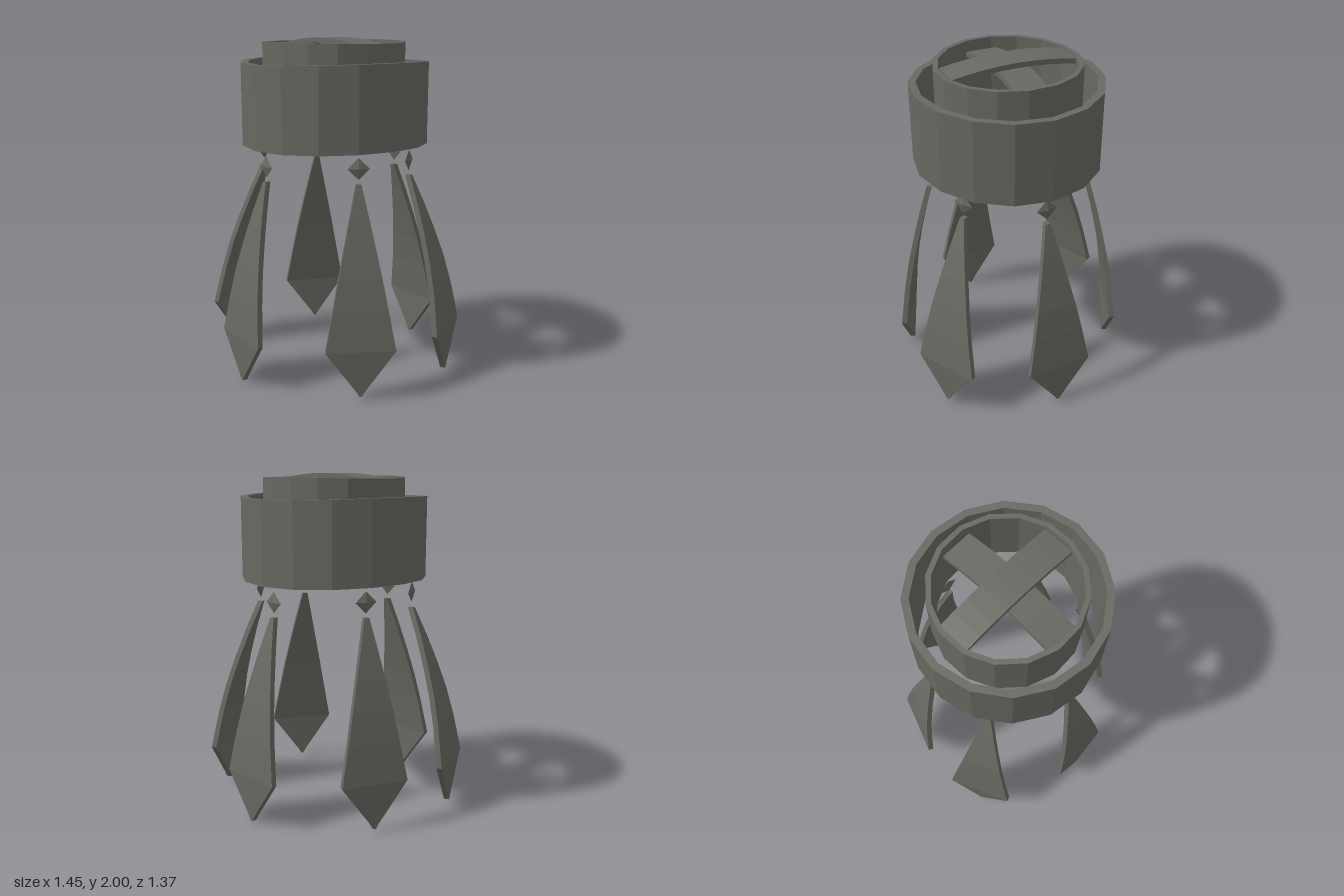
import * as THREE from 'three';

const metal = new THREE.MeshStandardMaterial({ color: 0x696963, flatShading: true });
metal.name = 'dark grey metal';

// Joins four-cornered cross-sections into one solid (or a closed loop)
function loft(sections, closed) {
  const pos = [];
  const quad = (a, b, c, d) => [a, b, c, a, c, d].forEach((p) => pos.push(...p));
  const n = sections.length;
  for (let i = 0; i < (closed ? n : n - 1); i++) {
    const s = sections[i], t = sections[(i + 1) % n];
    for (let j = 0; j < 4; j++) {
      const k = (j + 1) % 4;
      quad(s[j], s[k], t[k], t[j]);
    }
  }
  if (!closed) {
    quad(...sections[0].slice().reverse());
    quad(...sections[n - 1]);
  }
  const geo = new THREE.BufferGeometry();
  geo.setAttribute('position', new THREE.Float32BufferAttribute(pos, 3));
  geo.computeVertexNormals();
  return geo;
}

function add(group, geo, name) {
  const mesh = new THREE.Mesh(geo, metal);
  mesh.name = name;
  group.add(mesh);
  return mesh;
}

const CORNERS = [[1, -1], [1, 1], [-1, 1], [-1, -1]];

// Sixteen-sided band whose edges wave up and down slightly
function band(rIn, rOut, y0, y1, turn, wave) {
  const sections = [];
  for (let i = 0; i < 16; i++) {
    const a = ((i + turn) / 16) * Math.PI * 2;
    const dy = -wave * Math.cos(2 * a);
    sections.push(CORNERS.map(([v, r]) => {
      const radius = r > 0 ? rOut : rIn;
      return [Math.sin(a) * radius, (v > 0 ? y1 : y0) + dy, Math.cos(a) * radius];
    }));
  }
  return loft(sections, true);
}

// Gently arched flat strip along x
function strip(half, width, top, drop) {
  const sections = [];
  for (let i = 0; i <= 8; i++) {
    const t = i / 4 - 1;
    const y = top - drop * t * t;
    sections.push(CORNERS.map(([v, w]) => [t * half, v > 0 ? y : y - 0.03, (w * width) / 2]));
  }
  return loft(sections);
}

// Hanging blade: height, outward share, half width
const BLADE = [
  [1.19, 0, 0.015], [1.02, 0.26, 0.052], [0.85, 0.49, 0.088], [0.68, 0.69, 0.123],
  [0.5, 0.85, 0.157], [0.27, 1, 0.2], [0.03, 0.98, 0.025], [0, 0.98, 0.008],
];
function blade(top, wide, angle, lift) {
  const s = Math.sin(angle), c = Math.cos(angle), th = 0.016;
  return loft(BLADE.map(([y, f, hw]) => {
    const x = top[0] + (wide[0] - top[0]) * f;
    const z = top[1] + (wide[1] - top[1]) * f;
    return CORNERS.map(([u, n]) => [x + u * hw * c + n * th * s, y + lift, z - u * hw * s + n * th * c]);
  }));
}

export function createModel() {
  const model = new THREE.Group();
  model.name = 'hangingCrown';

  // Two nested bands
  add(model, band(0.515, 0.558, 1.384, 1.866, 0, 0.008), 'outerBand').position.x = 0.01;
  add(model, band(0.395, 0.424, 1.6, 1.977, 0.5, -0.004), 'innerBand').position.x = 0.007;

  // Crossed strips over the inner band
  add(model, strip(0.38, 0.19, 2, 0.035), 'upperStrip').rotation.y = -0.035;
  const lower = add(model, strip(0.38, 0.19, 1.965, 0.05), 'lowerStrip');
  lower.rotation.y = Math.PI / 2 - 0.03;
  lower.position.x = 0.01;

  // Blades with a diamond above each: top, widest point, facing, lift
  const hangers = [
    [[0.005, 0.482], [0, 0.665], 0, 0],
    [[0.455, 0.16], [0.61, 0.257], 60, 0.02],
    [[0.41, -0.25], [0.612, -0.393], 118, 0.02],
    [[0.005, -0.482], [0, -0.672], 180, 0],
    [[-0.435, -0.18], [-0.596, -0.267], 247, 0.02],
    [[-0.41, 0.24], [-0.641, 0.35], 291.5, 0.03],
  ];
  const diamond = new THREE.OctahedronGeometry(1).scale(0.063, 0.062, 0.016);
  for (const [top, wide, degrees, lift] of hangers) {
    const angle = THREE.MathUtils.degToRad(degrees);
    add(model, blade(top, wide, angle, Math.min(lift, 0.025)), 'blade');
    const gem = add(model, diamond, 'diamond');
    gem.position.set(top[0], 1.277 + lift, top[1]);
    gem.rotation.y = angle;
  }
  return model;
}
